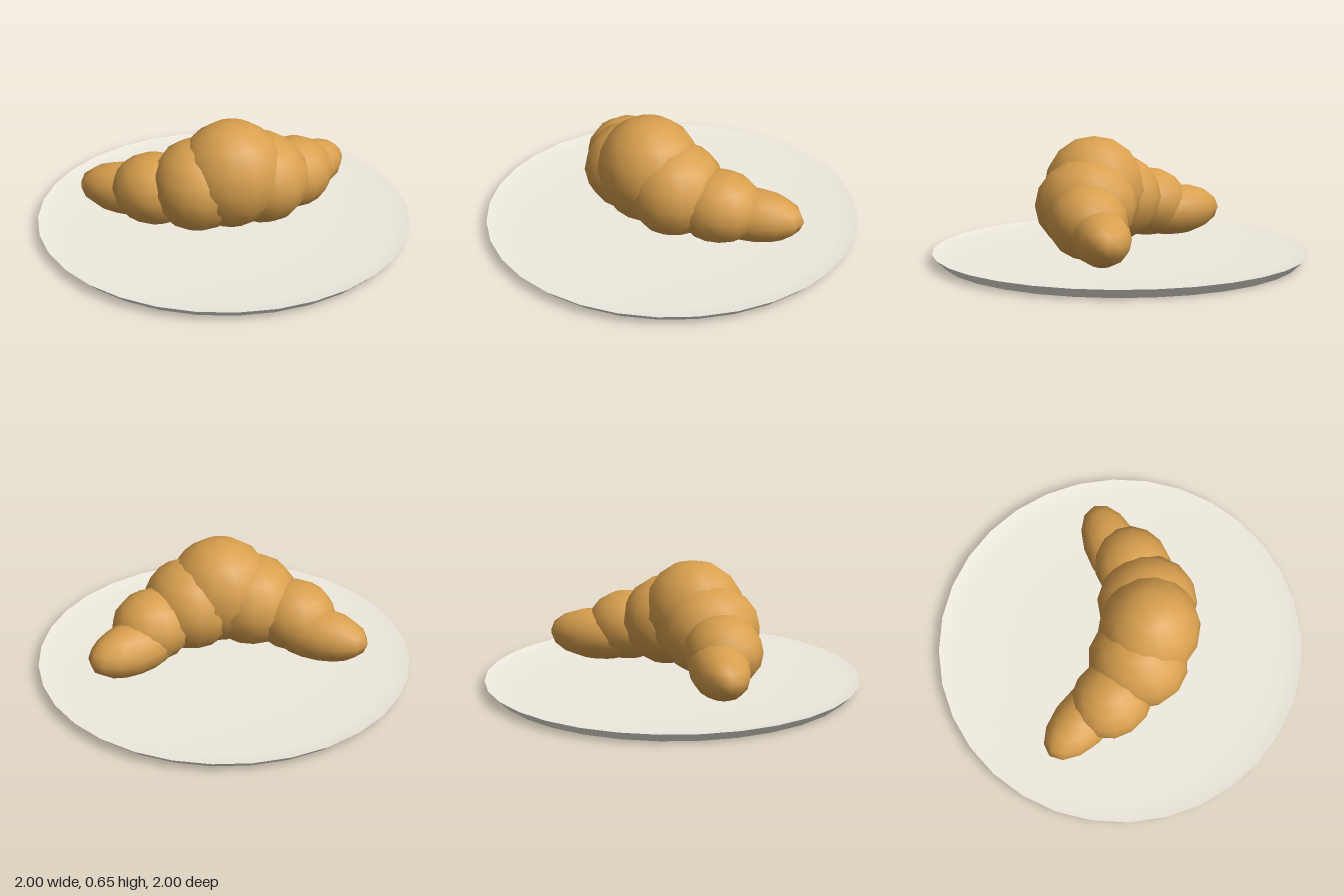
import * as THREE from 'three';

const crust = new THREE.MeshStandardMaterial({ color: 0xd9a04e });
const china = new THREE.MeshStandardMaterial({ color: 0xf0ebe0 });

// One puffed roll of dough: a stretched sphere turned about y
function roll(name, [x, y, z], [rx, ry, rz], degrees = 0) {
  const mesh = new THREE.Mesh(new THREE.SphereGeometry(1, 14, 8), crust);
  mesh.name = name;
  mesh.position.set(x, y, z);
  mesh.scale.set(rx, ry, rz);
  mesh.rotation.y = THREE.MathUtils.degToRad(degrees);
  return mesh;
}

function lathe(name, points) {
  const profile = points.map(([r, y]) => new THREE.Vector2(r, y));
  const mesh = new THREE.Mesh(new THREE.LatheGeometry(profile, 32), china);
  mesh.name = name;
  return mesh;
}

export function createModel() {
  const model = new THREE.Group();

  // Shallow plate: flat foot, flared side and slightly dished top
  const plate = new THREE.Group();
  plate.name = 'plate';
  plate.add(
    lathe('plateFoot', [[0, 0], [0.95, 0]]),
    lathe('plateSide', [[0.95, 0], [1, 0.05]]),
    lathe('plateTop', [[1, 0.05], [0.9, 0.035], [0.5, 0.03], [0, 0.03]]),
  );
  model.add(plate);

  // Crescent pastry: a large middle and three shrinking rolls on each side
  const pastry = new THREE.Group();
  pastry.name = 'croissant';
  pastry.add(roll('middleRoll', [0, 0.36, 0.155], [0.285, 0.287, 0.272]));
  const sideRolls = [
    ['innerRoll', [0.17, 0.302, 0.12], [0.25, 0.243, 0.27], 18],
    ['outerRoll', [0.38, 0.25, 0.012], [0.23, 0.19, 0.208], 35],
    ['tip', [0.485, 0.197, -0.113], [0.285, 0.14, 0.152], 32],
  ];
  for (const [side, s] of [['left', 1], ['right', -1]]) {
    for (const [name, [x, y, z], radii, angle] of sideRolls) {
      const label = side + name[0].toUpperCase() + name.slice(1);
      pastry.add(roll(label, [s * x, y, z], radii, s * angle));
    }
  }
  model.add(pastry);
  return model;
}
